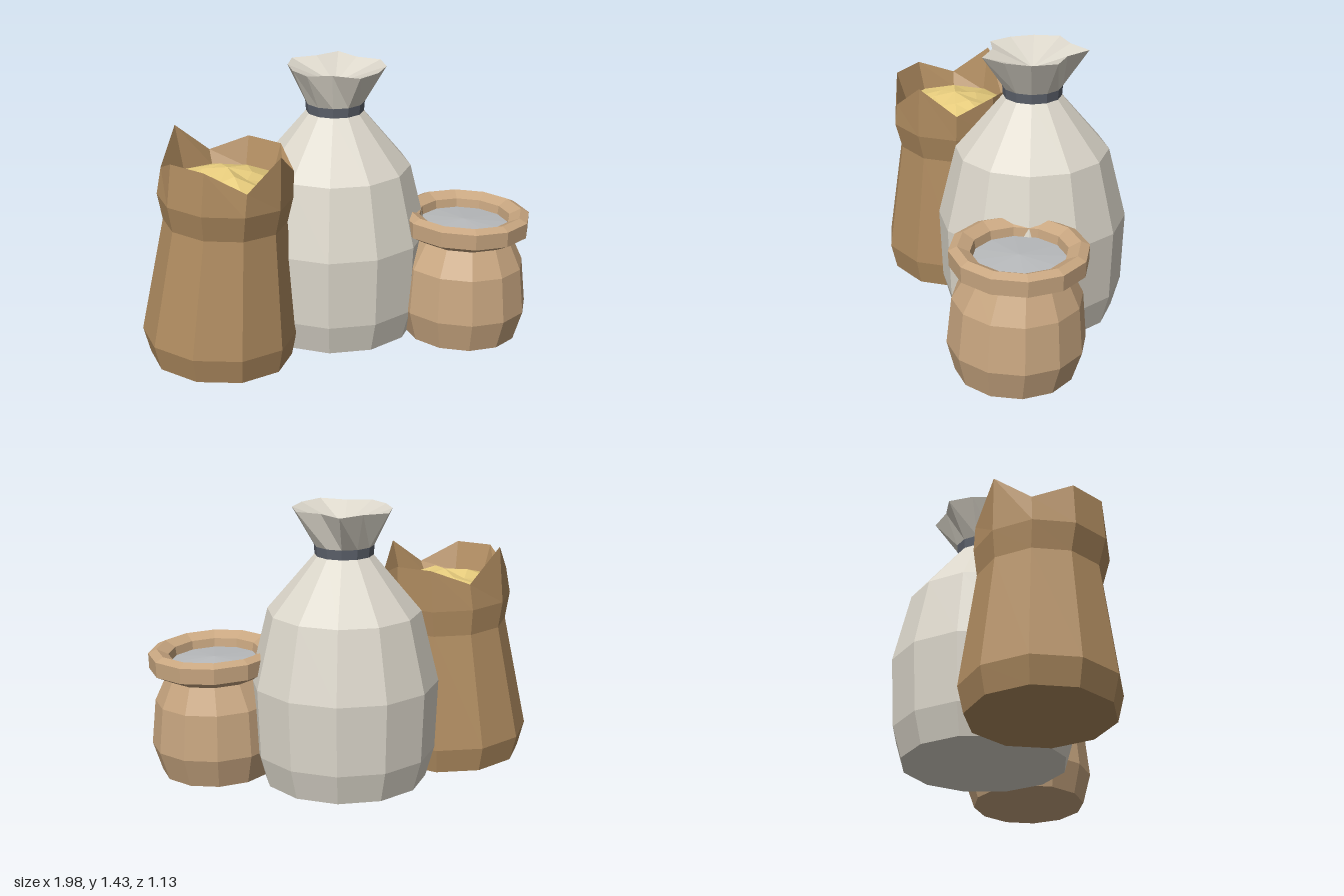
import * as THREE from 'three';

// Skins horizontal rings (listed from the bottom outside, upward, then inward).
// Each ring is { r, y, x, z }; r and y may be a number or one value per side.
function skin(name, color, rings, sides, phaseDeg, tilt = 0) {
  const pick = (v, j) => (Array.isArray(v) ? v[j % sides] : v);
  const pt = (ring, j) => {
    const a = THREE.MathUtils.degToRad(phaseDeg + ((j % sides) * 360) / sides);
    const r = pick(ring.r, j);
    const dx = r * Math.cos(a);
    return new THREE.Vector3(ring.x + dx, pick(ring.y, j) - tilt * dx, ring.z + r * Math.sin(a));
  };
  const pos = [];
  const tri = (a, b, c) => {
    const area = b.clone().sub(a).cross(c.clone().sub(a)).length();
    if (area > 1e-7) for (const p of [a, b, c]) pos.push(p.x, p.y, p.z);
  };
  for (let i = 0; i < rings.length - 1; i++) {
    for (let j = 0; j < sides; j++) {
      const a = pt(rings[i], j), b = pt(rings[i], j + 1);
      const d = pt(rings[i + 1], j), c = pt(rings[i + 1], j + 1);
      tri(a, d, c);
      tri(a, c, b);
    }
  }
  const geo = new THREE.BufferGeometry();
  geo.setAttribute('position', new THREE.Float32BufferAttribute(pos, 3));
  geo.computeVertexNormals();
  const mesh = new THREE.Mesh(geo, new THREE.MeshStandardMaterial({
    color, flatShading: true, side: THREE.DoubleSide,
  }));
  mesh.name = name;
  return mesh;
}

const ring = (r, y, x, z) => ({ r, y, x, z });

function named(name, ...parts) {
  const g = new THREE.Group();
  g.name = name;
  g.add(...parts);
  return g;
}

// Tall pale sack, tied at the neck
function tiedSack() {
  const x = 0.06, z = -0.09, n = 12, phase = -6;
  const at = (r, y) => ring(r, y, x, z);
  const flare = [0.26, 0.26, 0.26, 0.28, 0.2, 0.25, 0.235, 0.24, 0.265, 0.215, 0.28, 0.2];
  const body = skin('sackBody', 0xdcd7cb, [
    at(0, 0.03), at(0.42, 0.03), at(0.465, 0.19), at(0.48, 0.55),
    at(0.39, 0.915), at(0.148, 1.2),
  ], n, phase);
  const tie = skin('neckTie', 0x5c616b, [at(0.148, 1.2), at(0.152, 1.25)], n, phase);
  const mouth = skin('gatheredMouth', 0xdcd7cb, [
    at(0.152, 1.25), at(flare, 1.435), at(0, 1.34),
  ], n, phase);
  return named('tiedSack', body, tie, mouth);
}

// Paper-like bag with a torn, pointed rim and a grain filling
function grainBag() {
  const n = 10, phase = 18, tilt = 0.045;
  // four flaps with valleys between them
  const rimY = [1.02, 1.15, 1.0, 1.1, 1.1, 1.02, 1.18, 1.02, 1.1, 1.1];
  const x = -0.57, z = 0.1;
  const bag = skin('bagBody', 0xb08c60, [
    ring(0, 0.025, -0.62, 0.08), ring(0.36, 0.025, -0.62, 0.08),
    ring(0.39, 0.155, -0.625, 0.08), ring(0.308, 0.75, -0.585, 0.09),
    ring(0.335, 0.885, -0.585, 0.1), ring(0.325, rimY, x, z),
    ring(0.275, 0.95, x, z),
  ], n, phase, tilt);
  const heap = [1.01, 0.99, 1.02, 0.985, 1.0, 1.02, 0.99, 1.01, 1.0, 1.02];
  const grain = skin('grain', 0xe6cb7c, [
    ring(0.285, 0.955, x, z), ring(0.12, heap, x, z), ring(0, 1.03, x, z),
  ], n, phase, tilt);
  return named('grainBag', bag, grain);
}

// Short sack with a rolled rim and a grey filling
function openSack() {
  const n = 12, phase = 15, tilt = 0.035;
  const at = (r, y) => ring(r, y, 0.66, 0.22);
  const body = skin('openSackBody', 0xc8a680, [
    ring(0, 0.03, 0.645, 0.235), ring(0.295, 0.03, 0.645, 0.235),
    ring(0.34, 0.185, 0.65, 0.23), ring(0.318, 0.42, 0.65, 0.225), at(0.25, 0.55),
  ], n, phase, tilt);
  const rim = skin('rolledRim', 0xc8a680, [
    at(0.25, 0.55), at(0.335, 0.595), at(0.338, 0.675), at(0.295, 0.695),
    at(0.235, 0.665), at(0.225, 0.6),
  ], n, phase, tilt);
  const filling = skin('filling', 0xb8babc, [at(0.235, 0.62), at(0, 0.64)], n, phase, tilt);
  return named('openSack', body, rim, filling);
}

export function createModel() {
  return named('sacks', tiedSack(), grainBag(), openSack());
}
